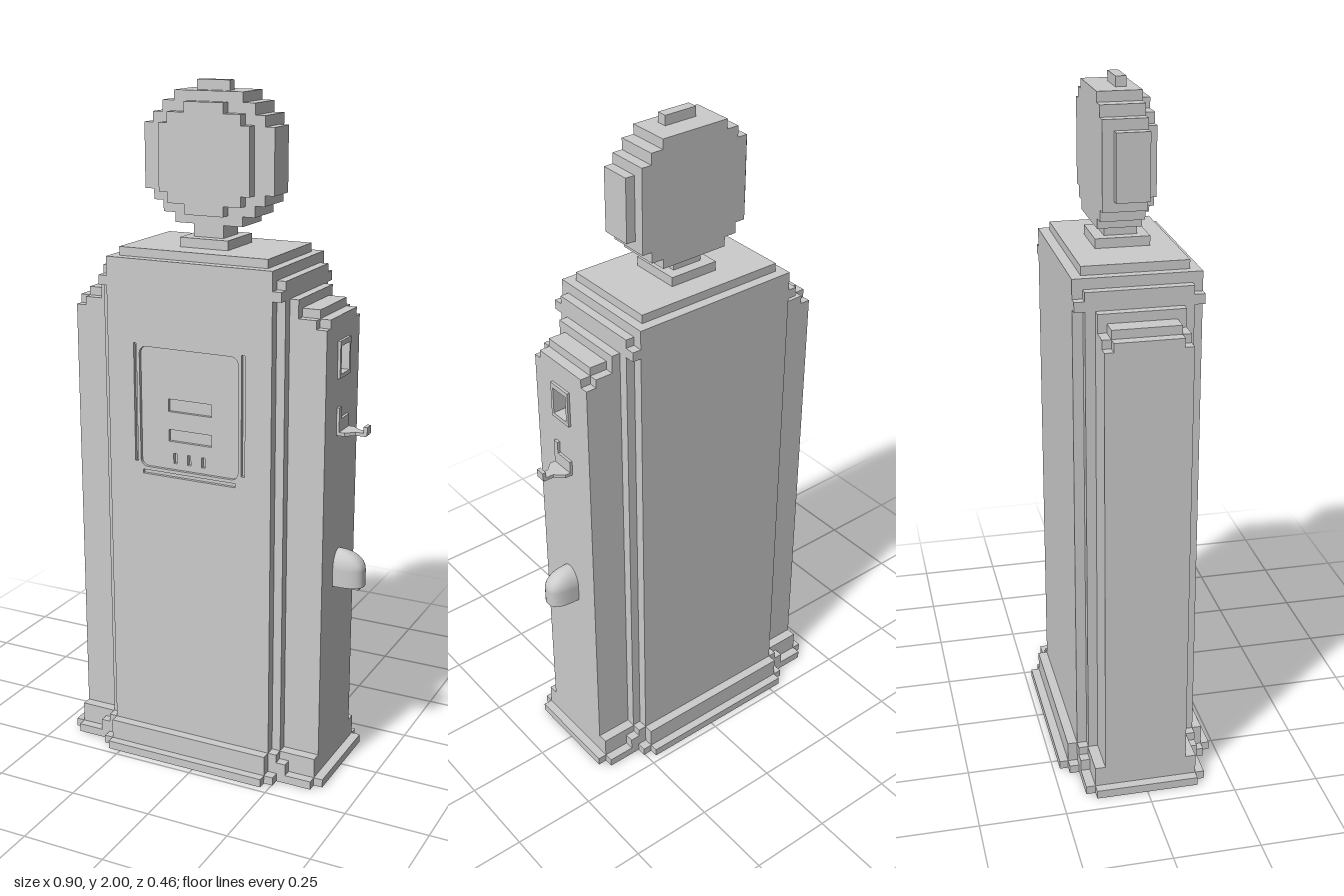
import * as THREE from 'three';

const material = new THREE.MeshStandardMaterial({ color: 0xcccccc });
const CX = -0.032; // the cabinet sits slightly to the right of the hooks

export function createModel() {
  const model = new THREE.Group();
  const section = (name, x = CX) => {
    const g = new THREE.Group();
    g.name = name;
    g.position.x = x;
    model.add(g);
    return g;
  };
  const add = (parent, name, geometry) => {
    const mesh = new THREE.Mesh(geometry, material);
    mesh.name = name;
    parent.add(mesh);
    return mesh;
  };
  // Box given by its extents
  const block = (parent, name, x0, x1, y0, y1, z0, z1) =>
    add(parent, name, new THREE.BoxGeometry(x1 - x0, y1 - y0, z1 - z0))
      .position.set((x0 + x1) / 2, (y0 + y1) / 2, (z0 + z1) / 2);
  // Box symmetric in x and z
  const slab = (parent, name, hx, y0, y1, hz) => block(parent, name, -hx, hx, y0, y1, -hz, hz);
  // Rounded rectangle outline
  const outline = (x0, x1, y0, y1, r = 0, Type = THREE.Path) => {
    const p = new Type();
    if (!r) {
      p.moveTo(x0, y0).lineTo(x1, y0).lineTo(x1, y1).lineTo(x0, y1).closePath();
      return p;
    }
    p.absarc(x1 - r, y0 + r, r, -Math.PI / 2, 0);
    p.absarc(x1 - r, y1 - r, r, 0, Math.PI / 2);
    p.absarc(x0 + r, y1 - r, r, Math.PI / 2, Math.PI);
    p.absarc(x0 + r, y0 + r, r, Math.PI, Math.PI * 1.5);
    p.closePath();
    return p;
  };
  const plate = (shape, holes, depth) => {
    shape.holes.push(...holes);
    return new THREE.ExtrudeGeometry(shape, { depth, bevelEnabled: false, curveSegments: 5 });
  };

  // Stepped plinth: half width, bottom, top, half depth
  const base = section('base');
  [
    [0.42, 0, 0.025, 0.15], [0.393, 0, 0.025, 0.177], [0.285, 0, 0.025, 0.205], [0.257, 0, 0.025, 0.23],
    [0.393, 0.025, 0.085, 0.15], [0.312, 0.025, 0.06, 0.177], [0.283, 0.025, 0.085, 0.177],
    [0.257, 0.025, 0.085, 0.205],
  ].forEach(([hx, y0, y1, hz]) => slab(base, 'baseStep', hx, y0, y1, hz));

  // Cabinet: core, corner pillars, side wings and stepped roof
  const cabinet = section('cabinet');
  block(cabinet, 'cabinetCore', -0.257, 0.257, 0.025, 1.52, -0.177, 0.157);
  slab(cabinet, 'cornerPillars', 0.283, 0.025, 1.45, 0.148);
  block(cabinet, 'sideWings', -0.393, 0.363, 0.025, 1.36, -0.12, 0.12);
  [
    [0.393, 1.36, 1.385, 0.095], [0.362, 1.36, 1.385, 0.12], [0.362, 1.385, 1.41, 0.095],
    [0.309, 1.385, 1.41, 0.12], [0.309, 1.41, 1.437, 0.12],
  ].forEach(([hx, y0, y1, hz]) => slab(cabinet, 'wingStep', hx, y0, y1, hz));
  slab(cabinet, 'shoulder', 0.283, 1.437, 1.465, 0.177);
  slab(cabinet, 'shoulderCap', 0.283, 1.465, 1.49, 0.148);
  slab(cabinet, 'upperStep', 0.257, 1.465, 1.52, 0.177);
  slab(cabinet, 'roof', 0.23, 1.52, 1.545, 0.148);

  // Front skin with display opening and trim grooves
  const front = section('frontPanel', 0);
  add(front, 'frontSkin', plate(
    outline(CX - 0.257, CX + 0.257, 0.025, 1.52, 0, THREE.Shape),
    [
      outline(-0.187, 0.124, 0.917, 1.273, 0.022),
      outline(-0.205, -0.196, 0.93, 1.28),
      outline(0.134, 0.145, 0.93, 1.28),
      outline(-0.18, 0.116, 0.895, 0.907),
    ], 0.01)).position.z = 0.167;
  // Display floor with readout windows and three small ticks
  const ticks = [-0.08, -0.035, 0.01].map(x => outline(x - 0.005, x + 0.005, 0.935, 0.965));
  add(front, 'displayPanel', plate(
    outline(CX - 0.257, CX + 0.257, 0.025, 1.52, 0, THREE.Shape),
    [outline(-0.1, 0.037, 1.088, 1.125), outline(-0.1, 0.037, 1, 1.035), ...ticks], 0.01)).position.z = 0.157;

  // Left wing end with a square pocket
  const side = section('sideFittings', 0);
  const wingEnd = add(side, 'wingEnd', plate(
    outline(-0.12, 0.12, 0.025, 1.36, 0, THREE.Shape),
    [outline(-0.029, 0.029, 1.22, 1.3)], 0.03));
  wingEnd.rotation.y = Math.PI / 2;
  wingEnd.position.x = 0.331;
  const frame = add(side, 'pocketFrame', plate(
    outline(-0.039, 0.039, 1.208, 1.315, 0, THREE.Shape),
    [outline(-0.029, 0.029, 1.22, 1.3)], 0.008));
  frame.rotation.y = Math.PI / 2;
  frame.position.x = 0.361;

  // Nozzle hook: back plate and tapering shelf with an upturned tip
  block(side, 'hookPlate', 0.36, 0.369, 1.047, 1.09, -0.037, 0.037);
  block(side, 'hookPlateTab', 0.36, 0.369, 1.09, 1.125, 0.02, 0.037);
  const shelfShape = new THREE.Shape([[0.36, -0.037], [0.385, -0.037], [0.41, -0.014], [0.44, -0.014],
    [0.44, 0.014], [0.41, 0.014], [0.385, 0.037], [0.36, 0.037]].map(p => new THREE.Vector2(...p)));
  const shelf = add(side, 'hookShelf', plate(shelfShape, [], 0.01));
  shelf.rotation.x = -Math.PI / 2;
  shelf.position.y = 1.044;
  block(side, 'hookTip', 0.433, 0.444, 1.048, 1.072, -0.014, 0.014);

  // Rounded hose boot: half of a dome, squared off in plan
  const profile = [[0, 0.59], [1, 0.59], [1, 0.59], [1, 0.64]].map(p => new THREE.Vector2(...p));
  for (let i = 1; i <= 8; i++) {
    const a = i * Math.PI / 16;
    profile.push(new THREE.Vector2(Math.max(0, Math.cos(a)), 0.64 + 0.055 * Math.sin(a)));
  }
  const boot = new THREE.LatheGeometry(profile, 16, 0, Math.PI);
  const pos = boot.attributes.position;
  for (let i = 0; i < pos.count; i++) {
    const x = pos.getX(i), z = pos.getZ(i), r = Math.hypot(x, z) || 1;
    const square = (v, k) => Math.sign(v) * r * Math.pow(Math.abs(v / r), 0.75) * k;
    pos.setXYZ(i, 0.361 + square(x, 0.083), pos.getY(i), square(z, 0.04));
  }
  boot.computeVertexNormals();
  add(side, 'hoseBoot', boot);
  block(side, 'hoseOutlet', 0.39, 0.432, 0.58, 0.592, -0.014, 0.014);

  // Neck and stepped round globe
  const globe = section('globe');
  slab(globe, 'neckFoot', 0.075, 1.545, 1.572, 0.077);
  slab(globe, 'neck', 0.046, 1.572, 1.61, 0.046);
  slab(globe, 'globeCrest', 0.05, 1.965, 2, 0.015);
  const rows = [[0.2, 0.092], [0.172, 0.122], [0.142, 0.154], [0.105, 0.182]];
  rows.forEach(([hx, hy], i) => {
    slab(globe, 'globeBody', hx, 1.79 - hy, 1.79 + hy, 0.046);
    if (i) block(globe, 'globeBack', -hx, hx, 1.79 - hy, 1.79 + hy, -0.077, -0.046);
  });
  [[0.14, 0.095], [0.113, 0.125], [0.06, 0.154]].forEach(([hx, hy]) =>
    block(globe, 'globeFace', -hx, hx, 1.79 - hy, 1.79 + hy, 0.046, 0.077));

  return model;
}
